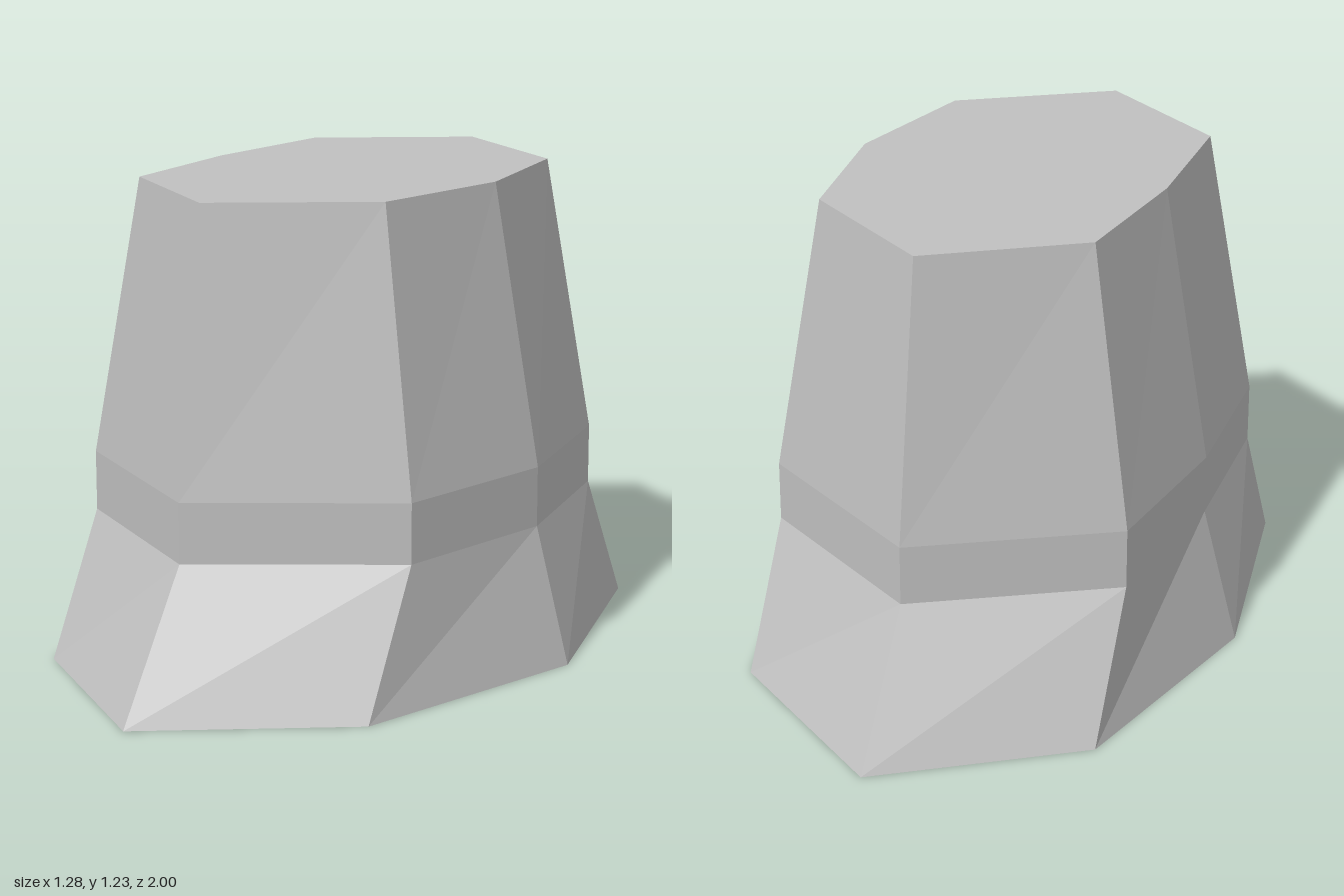
import * as THREE from 'three';

// Eight-sided cross-section, counter-clockwise from above, starting at the front ridge
function ring(y, zRidge, zCorner, xLeft, xRight, xSideLeft, xSideRight) {
  return [
    [-0.03, y, zRidge], [xLeft, y, zCorner], [xSideLeft, y, 0], [xLeft, y, -zCorner],
    [-0.03, y, -zRidge], [xRight, y, -zCorner], [xSideRight, y, 0], [xRight, y, zCorner],
  ];
}

// Faceted solid through a stack of rings, with optional end caps
function loft(rings, capBottom, capTop) {
  const pos = [];
  const tri = (a, b, c) => pos.push(...a, ...b, ...c);
  for (let k = 0; k < rings.length - 1; k++) {
    const lo = rings[k], hi = rings[k + 1];
    for (let i = 0; i < lo.length; i++) {
      const j = (i + 1) % lo.length;
      tri(lo[i], lo[j], hi[j]);
      tri(lo[i], hi[j], hi[i]);
    }
  }
  const first = rings[0], last = rings[rings.length - 1];
  for (let i = 1; i < first.length - 1; i++) {
    if (capBottom) tri(first[0], first[i + 1], first[i]);
    if (capTop) tri(last[0], last[i], last[i + 1]);
  }
  const geo = new THREE.BufferGeometry();
  geo.setAttribute('position', new THREE.Float32BufferAttribute(pos, 3));
  geo.computeVertexNormals();
  return geo;
}

export function createModel() {
  const group = new THREE.Group();
  group.name = 'taperedPedestal';
  const grey = new THREE.MeshStandardMaterial({ color: 0xc0c0c0, flatShading: true });
  grey.name = 'light grey';

  const base = ring(0, 1, 0.66, 0.45, -0.505, 0.64, -0.64);
  const bandLow = ring(0.355, 0.76, 0.463, 0.45, -0.505, 0.545, -0.545);
  const bandHigh = ring(0.51, 0.76, 0.463, 0.45, -0.505, 0.545, -0.545);
  const top = ring(1.23, 0.657, 0.408, 0.34, -0.39, 0.413, -0.42);

  const add = (name, geo) => {
    const mesh = new THREE.Mesh(geo, grey);
    mesh.name = name;
    group.add(mesh);
  };
  add('flaredFoot', loft([base, bandLow], true, false));
  add('collar', loft([bandLow, bandHigh], false, false));
  add('taperedBody', loft([bandHigh, top], false, true));
  return group;
}
